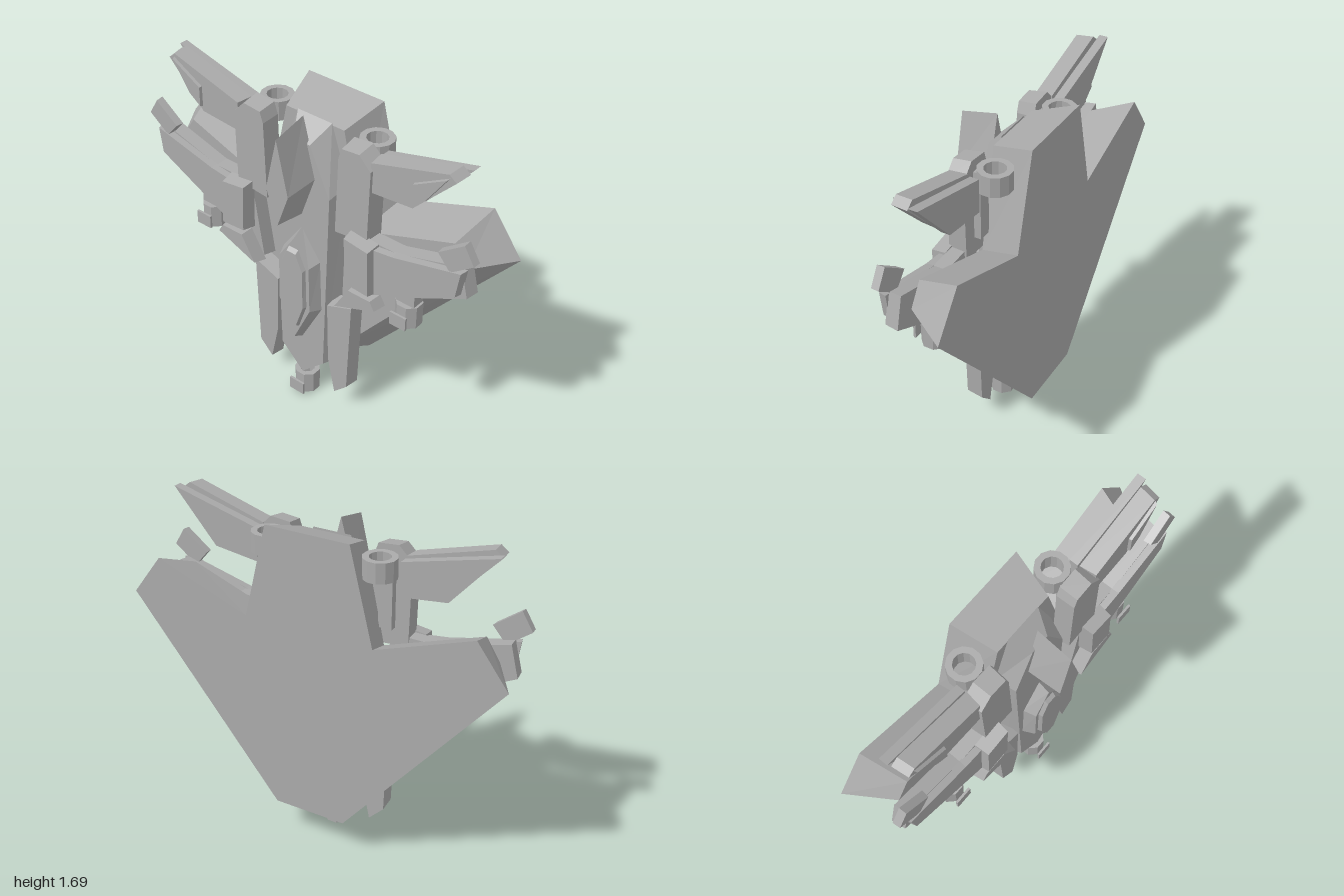
import * as THREE from 'three';

const grey = new THREE.MeshStandardMaterial({ color: 0xaaaaaa });
grey.name = 'hull grey';

// Outline of a symmetric part from the points of its +x half (top to bottom)
const both = (half) => [
  ...half,
  ...half.filter((p) => p[0] > 0).reverse().map(([x, y]) => [-x, y]),
];

// Outline pulled towards its middle by a factor
function shrink(pts, s) {
  const cx = pts.reduce((a, p) => a + p[0], 0) / pts.length;
  const cy = pts.reduce((a, p) => a + p[1], 0) / pts.length;
  return pts.map(([x, y]) => [cx + (x - cx) * s, cy + (y - cy) * s]);
}

// Plate from z0 to z1 whose front outline may differ from its back one
function plate(name, back, z0, z1, front = back) {
  const geo = new THREE.ExtrudeGeometry(
    new THREE.Shape(back.map((p) => new THREE.Vector2(...p))),
    { depth: z1 - z0, bevelEnabled: false });
  const pos = geo.attributes.position;
  for (let i = 0; i < pos.count; i++) {
    if (pos.getZ(i) < (z1 - z0) / 2) continue;
    const k = back.findIndex(([x, y]) =>
      Math.hypot(x - pos.getX(i), y - pos.getY(i)) < 1e-4);
    pos.setXY(i, ...front[k]);
  }
  geo.translate(0, 0, z0);
  geo.computeVertexNormals();
  const mesh = new THREE.Mesh(geo, grey);
  mesh.name = name;
  return mesh;
}

// Upright hollow nozzle, standing on y = 0
function nozzle(name, outer, inner, height, sides) {
  const profile = [[inner, 0], [outer, 0], [outer, height], [inner, height], [inner, 0]]
    .map((p) => new THREE.Vector2(...p));
  const geo = new THREE.LatheGeometry(profile, sides, Math.PI / sides).toNonIndexed();
  geo.computeVertexNormals();
  const mesh = new THREE.Mesh(geo, grey);
  mesh.name = name;
  return mesh;
}

// Nozzle with a square guard in front
function gun(name, x, y) {
  const g = new THREE.Group();
  g.name = name;
  const guard = new THREE.Mesh(new THREE.BoxGeometry(0.09, 0.07, 0.012), grey);
  guard.name = 'gunGuard';
  guard.position.set(0, 0.05, 0.083);
  g.add(nozzle('gunBarrel', 0.066, 0.038, 0.12, 8), guard);
  g.position.set(x, y, 0.035);
  return g;
}

export function createModel() {
  const model = new THREE.Group();
  model.name = 'ship';

  // Big back plate with bevelled rim
  model.add(plate('backPlate',
    both([[0.22, 1.67], [0.34, 1.19], [0.84, 1.37], [1, 1.16], [0.19, 0.19]]), -0.24, -0.02,
    both([[0.17, 1.6], [0.28, 1.1], [0.79, 1.28], [0.86, 1.17], [0.15, 0.3]])));

  // Central hull
  model.add(plate('hull',
    both([[0.1, 1.61], [0.195, 1.32], [0.165, 0.24], [0, 0.11]]), -0.02, 0.075,
    both([[0.05, 1.52], [0.165, 1.27], [0.135, 0.25], [0, 0.12]])));

  // Tall diamond fin on the upper hull
  model.add(plate('upperFin',
    both([[0, 1.65], [0.08, 1.35], [0, 1.12]]), 0.06, 0.245,
    both([[0, 1.61], [0.065, 1.33], [0, 1.15]])));

  // Canopy frame and glass on the lower hull
  model.add(plate('canopyFrame',
    both([[0, 1.05], [0.115, 0.89], [0.125, 0.6], [0, 0.36]]), 0.07, 0.135,
    both([[0, 1.01], [0.092, 0.87], [0.097, 0.61], [0, 0.4]])));
  model.add(plate('canopy',
    both([[0.03, 0.96], [0.075, 0.86], [0.08, 0.63], [0.03, 0.48]]), 0.13, 0.155,
    both([[0.027, 0.94], [0.067, 0.85], [0.07, 0.63], [0.027, 0.5]])));

  model.add(gun('noseGun', 0, 0));

  // Paired parts
  for (const s of [1, -1]) {
    const side = new THREE.Group();
    side.name = s > 0 ? 'leftSide' : 'rightSide';
    const m = (pts) => pts.map(([x, y]) => [x * s, y]);
    const add = (name, pts, z0, z1, taper = 1) =>
      side.add(plate(name, m(pts), z0, z1, m(shrink(pts, taper))));

    // Upper pod
    add('upperPod', [[0.235, 1.6], [0.34, 1.61], [0.41, 1.54], [0.4, 1.12], [0.2, 1.1], [0.215, 1.54]],
      -0.01, 0.085, 0.92);

    // Layered upper wing
    add('upperWingBack', [[0.38, 1.56], [0.85, 1.68], [0.62, 1.42], [0.38, 1.39]], -0.07, -0.025);
    add('upperWingFront', [[0.38, 1.57], [0.8, 1.69], [0.84, 1.66], [0.62, 1.43], [0.38, 1.41]],
      -0.015, 0.07, 0.95);
    add('upperWingStrip', [[0.62, 1.57], [0.8, 1.67], [0.69, 1.51], [0.62, 1.46]], 0.065, 0.085, 0.92);

    // Shoulder wing with feather tip
    add('shoulderWing', [[0.31, 1.16], [0.55, 1.16], [0.9, 1.26], [0.94, 1.1], [0.24, 0.74]],
      0, 0.07, 0.97);
    add('shoulderArmour', [[0.4, 1.14], [0.55, 1.16], [0.92, 1.25], [0.9, 1.11], [0.4, 0.86]],
      0.065, 0.105, 0.96);
    add('wingFeather', [[0.915, 1.4], [0.97, 1.31], [0.85, 1.22], [0.78, 1.3]], 0.06, 0.1, 0.96);
    add('upperArmourPanel', [[0.3, 1.18], [0.45, 1.16], [0.46, 0.89], [0.31, 0.9]], 0.07, 0.145, 0.9);
    add('lowerArmourPanel', [[0.33, 0.88], [0.47, 0.88], [0.5, 0.83], [0.24, 0.73]], 0.07, 0.14, 0.9);

    // Lower leg
    add('lowerLeg', [[0.31, 0.72], [0.155, 0.66], [0.165, 0.3], [0.21, 0.09], [0.29, 0.17]],
      -0.01, 0.075, 0.95);

    // Engine ring with mount, and wing gun
    const ring = nozzle('engineRing', 0.083, 0.052, 0.1, 12);
    ring.position.set(0.295 * s, 1.48, -0.1);
    side.add(ring);
    add('engineMount', [[0.26, 1.55], [0.33, 1.55], [0.33, 1.2], [0.26, 1.2]], -0.045, 0);
    side.add(gun('wingGun', 0.61 * s, 0.78));
    add('gunMount', [[0.56, 1], [0.66, 1], [0.66, 0.86], [0.56, 0.86]], 0, 0.07);

    model.add(side);
  }
  return model;
}
